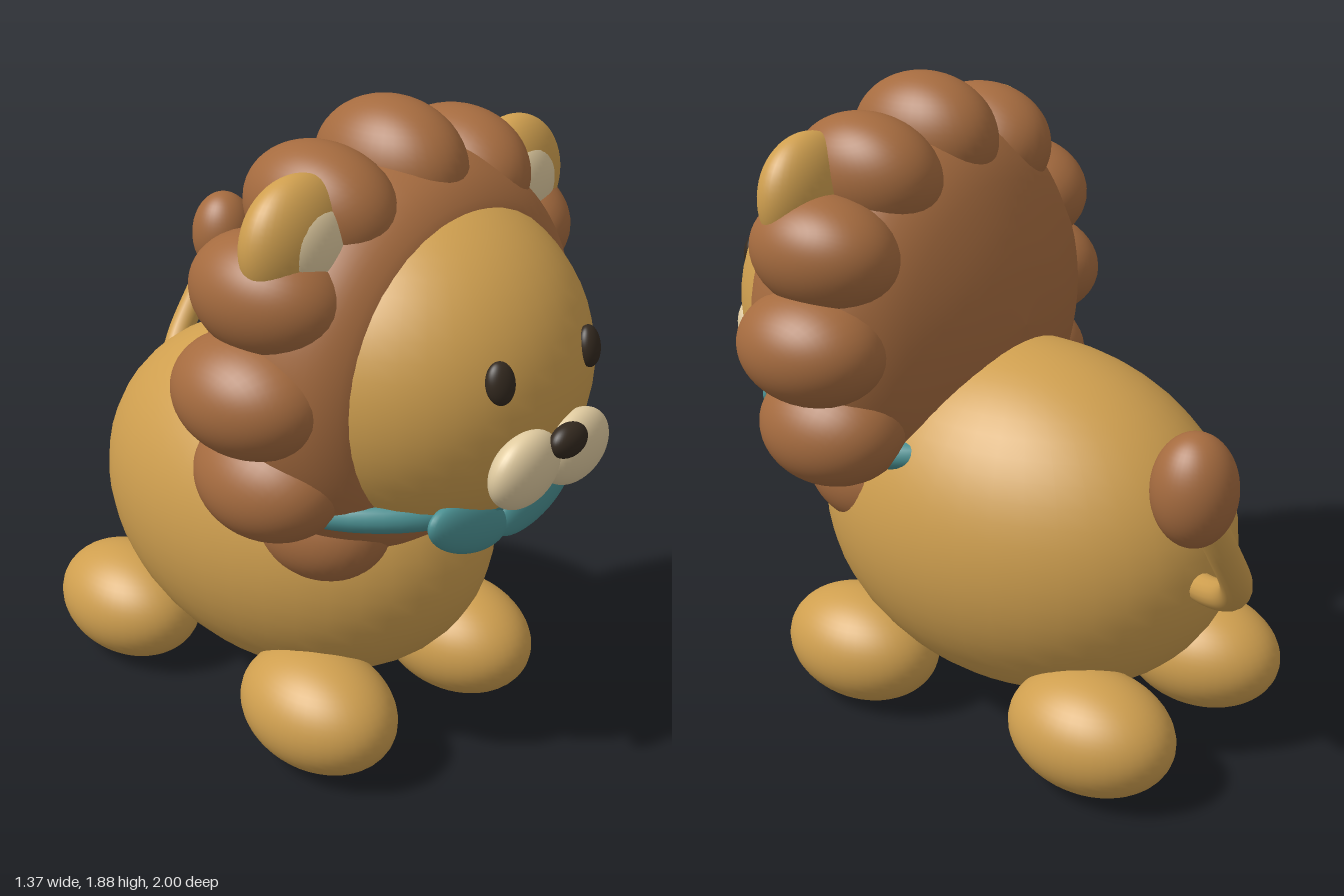
import * as THREE from 'three';

const material = (name, color) => {
  const m = new THREE.MeshStandardMaterial({ color });
  m.name = name;
  return m;
};

export function createModel() {
  const gold = material('gold fur', 0xcf9f4f);
  const brown = material('brown mane', 0xa56b3f);
  const cream = material('cream', 0xe0cba0);
  const teal = material('teal cloth', 0x4b9193);
  const dark = material('dark brown', 0x33291f);

  const lion = new THREE.Group();
  lion.name = 'lion';

  const add = (name, geometry, mat, parent = lion) => {
    const mesh = new THREE.Mesh(geometry, mat);
    mesh.name = name;
    parent.add(mesh);
    return mesh;
  };
  const ball = new THREE.SphereGeometry(1, 40, 28);
  const ellipsoid = (name, mat, position, radii, parent) => {
    const mesh = add(name, ball, mat, parent);
    mesh.position.set(...position);
    mesh.scale.set(...radii);
    return mesh;
  };

  // Body and head
  ellipsoid('body', gold, [0, 0.625, -0.025], [0.47, 0.525, 0.675]);
  ellipsoid('head', gold, [0, 1.2, 0.45], [0.47, 0.47, 0.47]);

  // Mane: a rounded dome behind the face
  const maneProfile = new THREE.SplineCurve([
    [0, -0.025], [0.2, 0], [0.4, 0.08], [0.51, 0.17], [0.56, 0.27], [0.57, 0.36],
    [0.555, 0.47], [0.51, 0.56], [0.44, 0.62], [0.36, 0.64],
  ].map(([r, z]) => new THREE.Vector2(r, z)));
  const dome = new THREE.LatheGeometry(maneProfile.getPoints(36), 64).rotateX(Math.PI / 2);
  add('maneCore', dome, brown).position.y = 1.2;

  // Ring of twelve mane tufts
  const mane = new THREE.Group();
  mane.name = 'maneTufts';
  mane.position.set(0, 1.2, 0.335);
  lion.add(mane);
  for (let i = 0; i < 12; i++) {
    const a = (i / 12) * Math.PI * 2;
    const tuft = ellipsoid('maneTuft', brown, [Math.sin(a) * 0.5, Math.cos(a) * 0.5, 0],
      [0.165, 0.183, 0.233], mane);
    tuft.rotation.z = -a;
  }

  // Mirrored parts
  for (const [side, s] of [['left', 1], ['right', -1]]) {
    ellipsoid(side + 'FrontFoot', gold, [s * 0.293, 0.176, 0.375], [0.19, 0.173, 0.255]);
    ellipsoid(side + 'HindFoot', gold, [s * 0.293, 0.176, -0.472], [0.19, 0.173, 0.255]);
    ellipsoid(side + 'Ear', gold, [s * 0.41, 1.6, 0.41], [0.172, 0.173, 0.1]);
    ellipsoid(side + 'InnerEar', cream, [s * 0.4, 1.595, 0.46], [0.115, 0.118, 0.06]);
    const eye = ellipsoid(side + 'Eye', dark, [s * 0.175, 1.3, 0.88], [0.04, 0.056, 0.028]);
    eye.rotation.set(-0.2, s * 0.3, 0);
    const cheek = ellipsoid(side + 'Muzzle', cream, [s * 0.1, 1.052, 0.91], [0.12, 0.108, 0.062]);
    cheek.rotation.x = 0.15;
    const lobe = ellipsoid(side + 'BowLobe', teal, [s * 0.13, 0.845, 0.762], [0.16, 0.075, 0.042]);
    lobe.rotation.z = s * 0.35;
  }
  ellipsoid('nose', dark, [0, 1.12, 0.965], [0.064, 0.046, 0.036]);

  // Collar around the neck
  const collar = add('collar', new THREE.TorusGeometry(0.42, 0.04, 16, 64).rotateX(Math.PI / 2), teal);
  collar.position.set(0, 0.885, 0.34);
  collar.scale.set(1.05, 1, 0.98);

  // Curved tail with a tuft
  const tailPath = new THREE.CatmullRomCurve3([
    [0.03, 0.59, -0.6], [0.1, 0.61, -0.71], [0.19, 0.67, -0.83],
    [0.29, 0.77, -0.905], [0.39, 0.91, -0.915], [0.48, 1.07, -0.89],
  ].map((p) => new THREE.Vector3(...p)));
  add('tail', new THREE.TubeGeometry(tailPath, 40, 0.042, 16), gold);
  ellipsoid('tailTuft', brown, [0.49, 1.1, -0.89], [0.107, 0.146, 0.108]);

  return lion;
}
